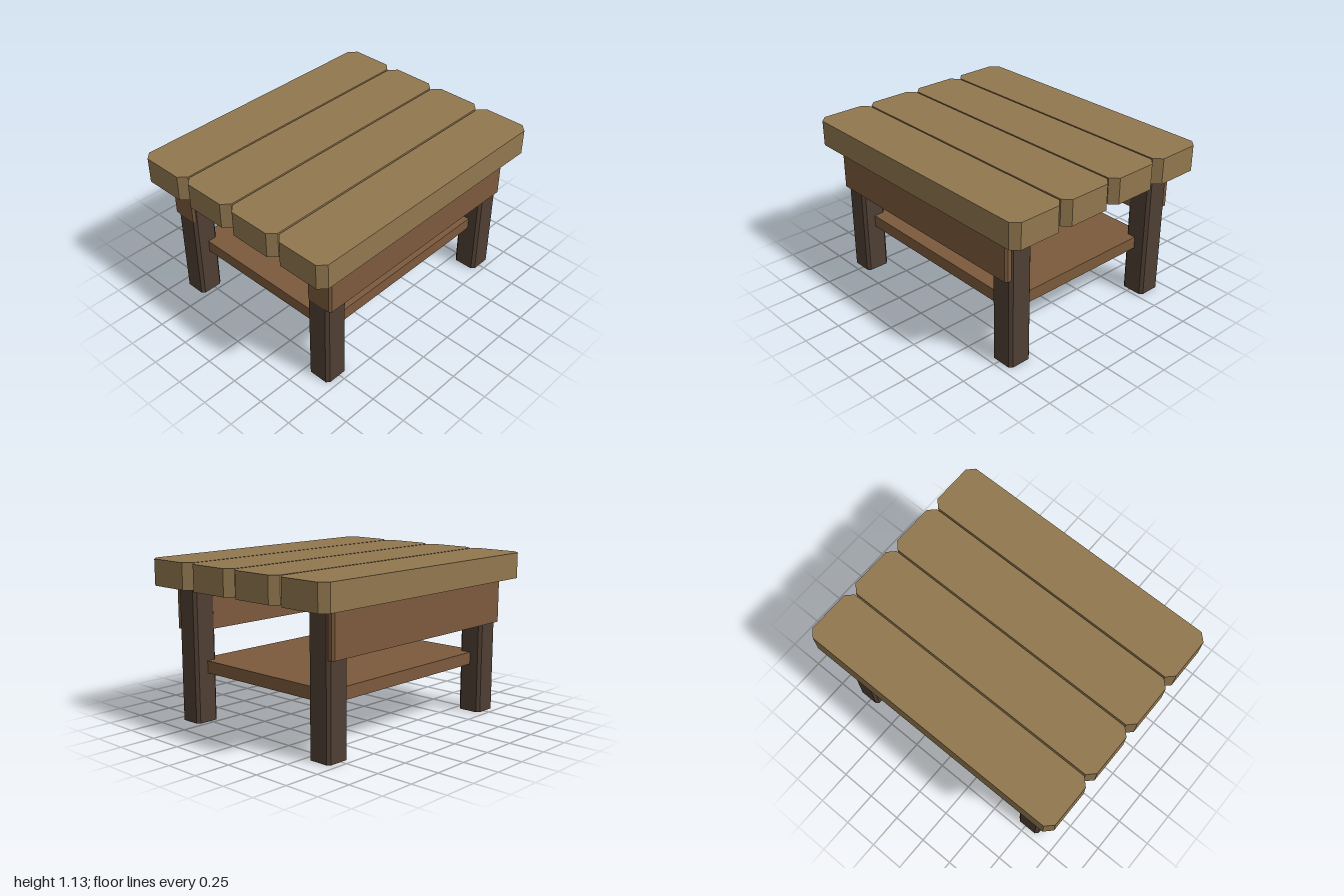
import * as THREE from 'three';

const material = (color) => new THREE.MeshStandardMaterial({ color, flatShading: true });

// Upright block with chamfered vertical corners, spanning x0..x1, y0..y1, z0..z1
function block(name, mat, [x0, x1], [y0, y1], [z0, z1], chamfer) {
  const w = (x1 - x0) / 2, d = (z1 - z0) / 2, c = chamfer;
  const outline = new THREE.Shape([
    [w, -d + c], [w, d - c], [w - c, d], [-w + c, d],
    [-w, d - c], [-w, -d + c], [-w + c, -d], [w - c, -d],
  ].map(([x, y]) => new THREE.Vector2(x, y)));
  const geometry = new THREE.ExtrudeGeometry(outline, { depth: y1 - y0, bevelEnabled: false });
  geometry.rotateX(-Math.PI / 2);
  const mesh = new THREE.Mesh(geometry, mat);
  mesh.position.set((x0 + x1) / 2, y0, (z0 + z1) / 2);
  mesh.name = name;
  return mesh;
}

export function createModel() {
  const table = new THREE.Group();
  table.name = 'table';
  const topWood = material(0x91774f);
  const panelWood = material(0x7c5a3c);
  const legWood = material(0x4f3f33);

  // Four planks with clipped corners
  for (let i = 0; i < 4; i++) {
    const z = (i - 1.5) * 0.4085;
    table.add(block('topPlank', topWood, [-1, 1], [0.95, 1.13], [z - 0.1985, z + 0.1985], 0.05));
  }

  // Legs, with a deep apron joining each front and back pair
  for (const s of [1, -1]) {
    const span = (a, b) => (s > 0 ? [a, b] : [-b, -a]);
    for (const [x0, x1] of [[-0.855, -0.68], [0.68, 0.855]]) {
      table.add(block('leg', legWood, [x0, x1], [0, 0.951], span(0.53, 0.705), 0.02));
    }
    table.add(block(s > 0 ? 'frontApron' : 'backApron', panelWood,
      [-0.857, 0.847], [0.643, 0.952], span(0.533, 0.735), 0.015));
  }

  // Lower shelf let into the legs
  const shelf = new THREE.Mesh(new THREE.BoxGeometry(1.52, 0.086, 1.24), panelWood);
  shelf.position.y = 0.387;
  shelf.name = 'shelf';
  table.add(shelf);

  return table;
}
